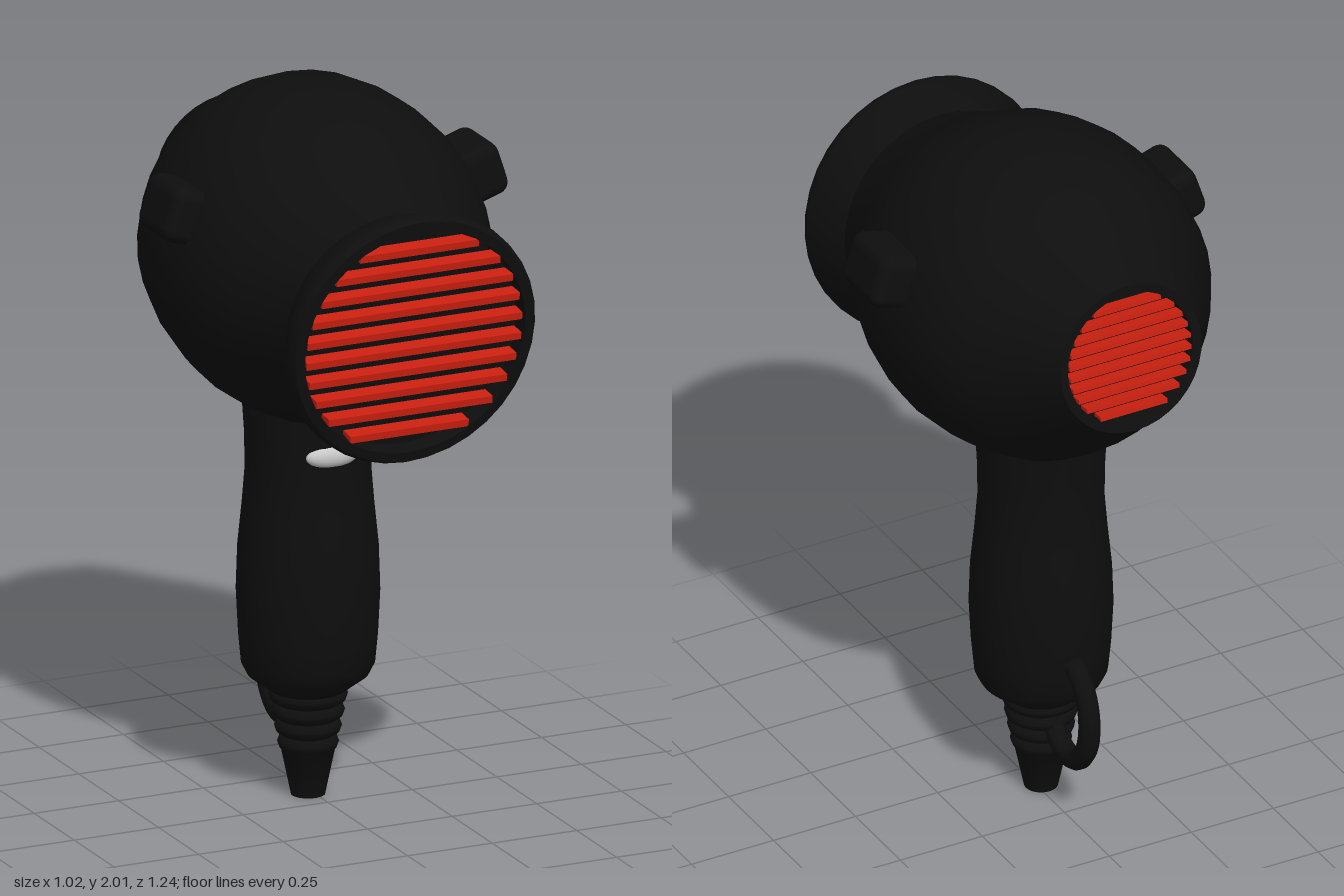
import * as THREE from 'three';
import { toCreasedNormals } from 'three/addons/utils/BufferGeometryUtils.js';
import { RoundedBoxGeometry } from 'three/addons/geometries/RoundedBoxGeometry.js';

const black = new THREE.MeshStandardMaterial({ color: 0x0e0e0e });
const red = new THREE.MeshStandardMaterial({ color: 0xcc2010 });
const grey = new THREE.MeshStandardMaterial({ color: 0xcccccc });

function part(name, geometry, material, parent) {
  const mesh = new THREE.Mesh(geometry, material);
  mesh.name = name;
  parent.add(mesh);
  return mesh;
}

// Turned shape from [radius, height] pairs, with hard edges kept sharp
function turned(profile, segments = 36) {
  const points = profile.map(([r, y]) => new THREE.Vector2(r, y));
  return toCreasedNormals(new THREE.LatheGeometry(points, segments), 0.7);
}

// Horizontal slats cut to the chords of a round opening
function addGrille(name, parent, { radius, z, count, thickness, depth }) {
  const grille = new THREE.Group();
  grille.name = name;
  const span = radius * 0.835;
  for (let i = 0; i < count; i++) {
    const y = -span + (2 * span * i) / (count - 1);
    const width = 2 * Math.sqrt(radius * radius - y * y);
    part('slat', new THREE.BoxGeometry(width, thickness, depth), red, grille).position.set(0, y, z);
  }
  parent.add(grille);
}

export function createModel() {
  const model = new THREE.Group();
  const axisX = -0.015;

  // Barrel, tipped slightly forward, with a recess at each end
  const barrel = new THREE.Group();
  barrel.name = 'barrel';
  barrel.position.set(axisX, 1.547, -0.005);
  barrel.rotation.x = 0.123;
  model.add(barrel);
  const shell = turned([
    [0, -0.555], [0.187, -0.555], [0.19, -0.59], [0.215, -0.593],
    [0.23, -0.565], [0.315, -0.435], [0.375, -0.35], [0.42, -0.27], [0.445, -0.17],
    [0.455, -0.08], [0.457, 0], [0.447, 0.08], [0.428, 0.16], [0.385, 0.255],
    [0.345, 0.34], [0.312, 0.44],
    [0.363, 0.55], [0.362, 0.572], [0.352, 0.588], [0.325, 0.59],
    [0.32, 0.54], [0, 0.54],
  ]);
  shell.rotateX(Math.PI / 2);
  part('barrelShell', shell, black, barrel);
  addGrille('frontGrille', barrel, { radius: 0.318, z: 0.562, count: 10, thickness: 0.02, depth: 0.048 });
  addGrille('rearGrille', barrel, { radius: 0.185, z: -0.574, count: 10, thickness: 0.013, depth: 0.036 });

  // Side knobs
  for (const side of [-1, 1]) {
    const knob = part('sideKnob', new RoundedBoxGeometry(0.19, 0.155, 0.2, 3, 0.035), black, model);
    knob.position.set(side * 0.405, 1.715, -0.027);
    knob.rotation.z = side * 0.32;
  }

  // Handle
  const handle = turned([
    [0, 0.29], [0.1, 0.295], [0.125, 0.315], [0.165, 0.345], [0.18, 0.375], [0.188, 0.46],
    [0.194, 0.58], [0.19, 0.7], [0.178, 0.82], [0.17, 0.92], [0.172, 1.03], [0.18, 1.15], [0.183, 1.25],
  ]);
  part('handle', handle, black, model).position.set(axisX, 0, -0.092);

  // Ribbed cable sleeve
  const sleeve = [[0, 0], [0.046, 0], [0.073, 0.13]];
  for (let i = 0; i < 4; i++) {
    const y = 0.135 + i * 0.045;
    const r = 0.078 + i * 0.008;
    sleeve.push([r, y], [r + 0.005, y + 0.014], [r, y + 0.028], [r - 0.008, y + 0.034]);
  }
  sleeve.push([0.1, 0.31]);
  part('cableSleeve', turned(sleeve, 28), black, model).position.set(axisX, 0, -0.092);

  // Hanging loop behind the handle
  const loopPoints = [];
  for (let i = 0; i < 20; i++) {
    const a = (i / 20) * Math.PI * 2;
    loopPoints.push(new THREE.Vector3(axisX, 0.325 + 0.15 * Math.sin(a), -0.25 + 0.112 * Math.cos(a)));
  }
  const loopPath = new THREE.CatmullRomCurve3(loopPoints, true);
  part('hangingLoop', new THREE.TubeGeometry(loopPath, 40, 0.03, 10, true), black, model);

  // Switch button
  const button = part('switchButton', new THREE.SphereGeometry(1, 28, 16), grey, model);
  button.scale.set(0.078, 0.036, 0.03);
  button.position.set(axisX, 1.0, 0.06);

  return model;
}
